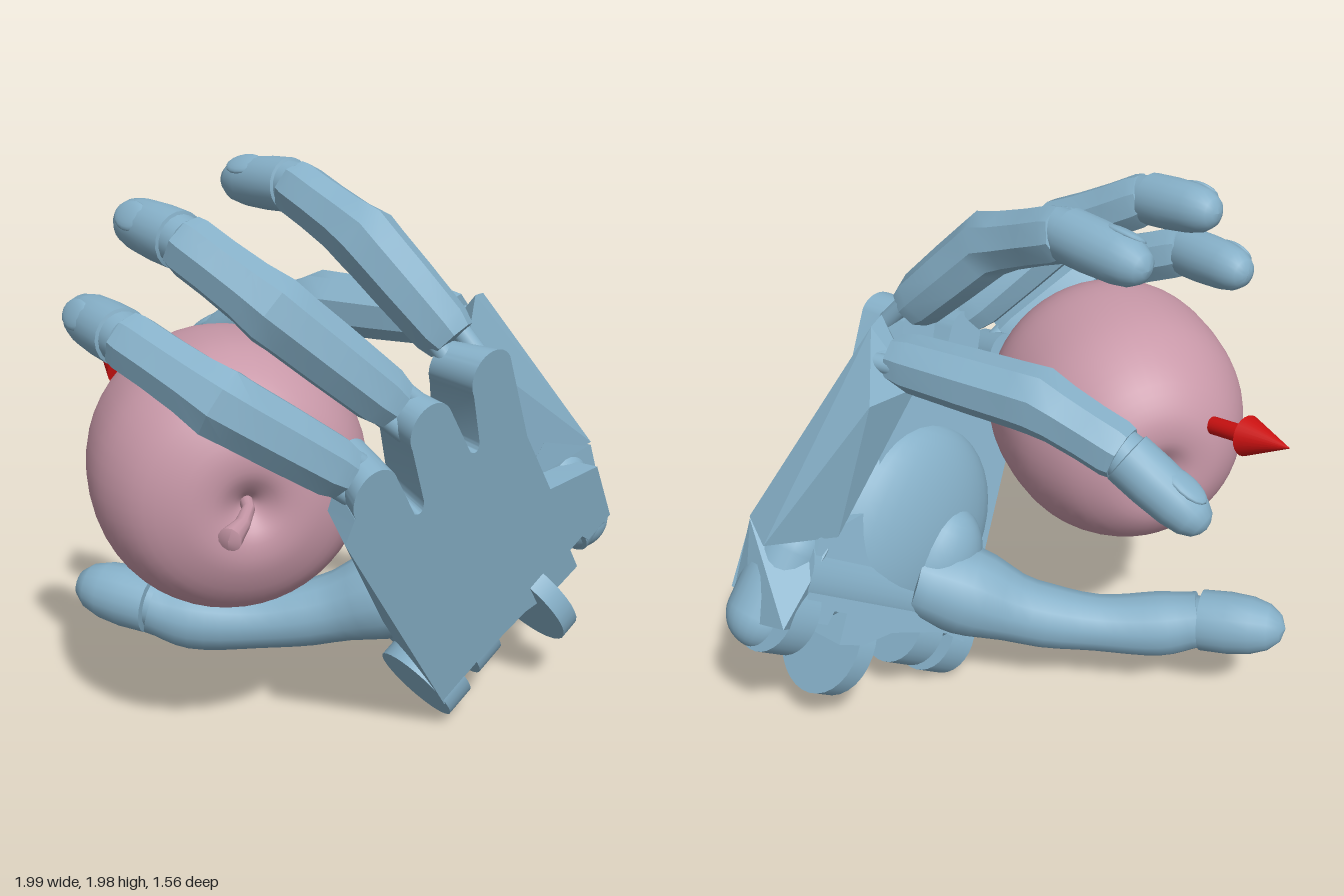
import * as THREE from 'three';
import { toCreasedNormals } from 'three/addons/utils/BufferGeometryUtils.js';
import { ConvexGeometry } from 'three/addons/geometries/ConvexGeometry.js';

const V = (x, y, z) => new THREE.Vector3(x, y, z);
const steel = new THREE.MeshStandardMaterial({ color: 0x86b0c8 });
const skin = new THREE.MeshStandardMaterial({ color: 0xc898a8 });
const red = new THREE.MeshStandardMaterial({ color: 0xcc1111 });

function part(parent, name, geometry, material = steel) {
  const mesh = new THREE.Mesh(geometry, material);
  mesh.name = name;
  parent.add(mesh);
  return mesh;
}

// Skin over rings: stations are [point, radius], ref is the dorsal direction
function loft(stations, sides, ref, crease = 0.5) {
  const pos = [], index = [], n = stations.length;
  stations.forEach(([p, r], i) => {
    const d = stations[Math.min(i + 1, n - 1)][0].clone().sub(stations[Math.max(i - 1, 0)][0]).normalize();
    const s = ref.clone().addScaledVector(d, -ref.dot(d)).normalize();
    const t = d.clone().cross(s);
    for (let j = 0; j < sides; j++) {
      const a = ((j + 0.5) / sides) * Math.PI * 2;
      const q = p.clone().addScaledVector(s, r * Math.cos(a)).addScaledVector(t, r * Math.sin(a));
      pos.push(q.x, q.y, q.z);
      if (i < n - 1) {
        const k = (j + 1) % sides, A = i * sides + j, B = i * sides + k;
        index.push(A, B, B + sides, A, B + sides, A + sides);
      }
    }
  });
  const g = new THREE.BufferGeometry();
  g.setAttribute('position', new THREE.Float32BufferAttribute(pos, 3));
  g.setIndex(index);
  return toCreasedNormals(g, crease);
}

// Cylinder between two points
function rod(a, b, r0, r1 = r0, sides = 20) {
  const d = b.clone().sub(a);
  const g = new THREE.CylinderGeometry(r1, r0, d.length(), sides);
  g.applyQuaternion(new THREE.Quaternion().setFromUnitVectors(V(0, 1, 0), d.clone().normalize()));
  const m = a.clone().add(b).multiplyScalar(0.5);
  return g.translate(m.x, m.y, m.z);
}

// Finger: hinge pin, knuckle, joint and tip end
function finger(name, pin, k, p1, p2, end, r) {
  const g = new THREE.Group();
  g.name = name;
  const ref = p1.clone().multiplyScalar(2).sub(k).sub(end).normalize();
  const at = (a, b, t) => a.clone().lerp(b, t);
  // Fork prongs and pin at the hinge
  const side = ref.clone().cross(p1.clone().sub(k)).setLength(r * 0.5);
  for (const s of [-1, 1]) {
    part(g, 'hingeProng', rod(pin.clone().addScaledVector(side, s), at(k, p1, 0.15).addScaledVector(side, s), r * 0.33));
  }
  part(g, 'hingePin', rod(pin.clone().sub(side), pin.clone().add(side), r * 0.33));
  part(g, 'fingerBody', loft([
    [at(k, p1, 0.01), 0.0005], [at(k, p1, 0.02), r * 0.85], [at(k, p1, 0.14), r], [at(k, p1, 0.55), r * 1.07],
    [at(k, p1, 0.86), r * 1.1], [p1, r * 1.14], [at(p1, p2, 0.25), r * 1.02],
    [at(p1, p2, 0.6), r * 0.97], [at(p1, p2, 0.9), r * 0.97], [at(p1, p2, 0.99), r * 0.9], [p2, 0.0005],
  ], 8, ref, 0.6));
  const profile = [[-0.14, 0.005], [-0.12, 0.75], [0.04, 0.8], [0.05, 0.9], [0.35, 0.9], [0.65, 0.84], [0.83, 0.72], [0.94, 0.5], [0.985, 0.25], [1, 0.005]];
  part(g, 'fingerTip', loft(profile.map(([t, s]) => [at(p2, end, t), r * s]), 20, ref, 0.7));
  // Nail: a thin oval plate on the back of the tip
  const d = end.clone().sub(p2), len = d.length();
  d.normalize();
  const up = ref.clone().addScaledVector(d, -ref.dot(d)).normalize();
  const nail = part(g, 'nail', new THREE.SphereGeometry(1, 16, 10));
  nail.scale.set(r * 0.5, r * 0.18, len * 0.24);
  nail.quaternion.setFromRotationMatrix(new THREE.Matrix4().makeBasis(up.clone().cross(d), up, d));
  nail.position.copy(at(p2, end, 0.6)).addScaledVector(up, r * 0.72);
  return g;
}

function createPalm() {
  const palm = new THREE.Group();
  palm.name = 'palm';
  // Plate outline with three rounded knuckle lobes
  const s = new THREE.Shape();
  s.moveTo(0, 0.1);
  s.lineTo(0, 1.12);
  s.lineTo(0.07, 1.17);
  s.absarc(0.165, 1.165, 0.093, Math.PI, 0.1, true);
  s.lineTo(0.25, 0.97);
  s.quadraticCurveTo(0.275, 0.93, 0.3, 0.98);
  s.lineTo(0.345, 1.19);
  s.absarc(0.435, 1.19, 0.09, Math.PI, 0, true);
  s.lineTo(0.525, 0.97);
  s.quadraticCurveTo(0.545, 0.93, 0.57, 0.97);
  s.lineTo(0.62, 1.15);
  s.absarc(0.71, 1.15, 0.09, Math.PI, 0, true);
  s.lineTo(0.745, 0.8);
  s.lineTo(0.75, 0.49);
  s.lineTo(0.97, 0.36);
  s.lineTo(0.95, 0.08);
  s.lineTo(0.82, 0.08);
  s.lineTo(0.8, 0.13);
  s.lineTo(0.73, 0.13);
  s.lineTo(0.73, 0.02);
  s.lineTo(0.6, 0.03);
  s.lineTo(0.45, 0.09);
  s.lineTo(0.18, 0.12);
  s.lineTo(0.12, 0.12);
  const g = new THREE.ExtrudeGeometry(s, { depth: 1, bevelEnabled: false, curveSegments: 14 });
  // The plate thins from wrist to knuckles and its back is narrower
  const p = g.attributes.position;
  for (let i = 0; i < p.count; i++) {
    const back = 1 - p.getZ(i);
    p.setZ(i, -back * (0.35 - 0.15 * p.getY(i)));
    p.setX(i, p.getX(i) + back * 0.16 * (0.5 - p.getX(i)));
  }
  part(palm, 'palmPlate', toCreasedNormals(g, 0.5));
  // Wrist lugs: from u, to u, radius, v, depth
  [[0.005, 0.12, 0.16, 0.085, 0.155], [0.19, 0.31, 0.16, 0.1, 0.165], [0.51, 0.585, 0.215, -0.01, 0.12], [0.82, 0.93, 0.165, 0.08, 0.18]]
    .forEach(([a, b, r, v, d]) => part(palm, 'wristLug', rod(V(a, v, -d), V(b, v, -d), r, r, 32)));
  part(palm, 'wristCore', rod(V(0.07, 0.22, -0.18), V(0.9, 0.22, -0.18), 0.15, 0.15, 32));
  // Soft swell on the inner side
  const pad = part(palm, 'palmPad', new THREE.SphereGeometry(1, 32, 20));
  pad.scale.set(0.37, 0.4, 0.16);
  pad.position.set(0.42, 0.46, -0.19);
  // Tilted frame: across, along and out of the plate
  const along = V(-0.456, 0.816, 0.36).normalize(), out = V(0.442, -0.142, 0.885).normalize();
  palm.quaternion.setFromRotationMatrix(new THREE.Matrix4().makeBasis(along.clone().cross(out).normalize(), along, out));
  palm.position.set(0.25, 0.03, 0.32);
  return palm;
}

export function createModel() {
  const model = new THREE.Group();
  model.name = 'handHoldingFruit';
  const hand = new THREE.Group();
  hand.name = 'hand';
  model.add(hand);
  hand.add(createPalm());

  // Three long fingers and the long side finger
  hand.add(finger('lowerFinger', V(-0.16, 1.08, 0.62), V(-0.23, 1.14, 0.64), V(-0.61, 1.4, 0.64), V(-0.84, 1.54, 0.38), V(-0.95, 1.555, 0.09), 0.1));
  hand.add(finger('middleFinger', V(0.02, 1.25, 0.56), V(-0.05, 1.31, 0.56), V(-0.42, 1.63, 0.52), V(-0.64, 1.8, 0.29), V(-0.78, 1.83, 0.02), 0.1));
  hand.add(finger('upperFinger', V(0.23, 1.38, 0.44), V(0.19, 1.45, 0.4), V(-0.04, 1.75, 0.19), V(-0.2, 1.88, -0.1), V(-0.36, 1.86, -0.4), 0.1));
  hand.add(finger('sideFinger', V(0.355, 1.43, 0.1), V(0.33, 1.43, 0.08), V(-0.05, 1.42, -0.32), V(-0.25, 1.32, -0.54), V(-0.45, 1.14, -0.76), 0.1));

  // Slab carrying the side finger, and the rounded block at its foot
  part(hand, 'sideFingerSlab', new ConvexGeometry([
    V(0.6, 0.86, 0.16), V(0.86, 0.92, 0.05), V(0.84, 0.9, -0.11), V(0.58, 0.85, -0.06),
    V(0.28, 1.39, 0.28), V(0.34, 1.54, 0.19), V(0.39, 1.53, 0.13), V(0.45, 1.35, -0.08), V(0.27, 1.34, 0.02),
  ]));
  part(hand, 'slabFoot', new ConvexGeometry([
    V(0.52, 0.84, 0.2), V(0.64, 0.98, 0.14), V(0.86, 0.91, 0.05), V(0.94, 0.66, 0.02), V(0.93, 0.6, -0.1),
    V(0.82, 0.67, -0.28), V(0.62, 0.82, -0.08), V(0.72, 0.54, -0.12), V(0.55, 0.6, 0.12),
  ]));
  const knob = part(hand, 'slabKnob', new THREE.CapsuleGeometry(0.125, 0.26, 10, 24));
  knob.quaternion.setFromUnitVectors(V(0, 1, 0), V(-0.52, 0.8, 0.28).normalize());
  knob.position.set(0.795, 0.69, -0.02);

  // Thumb with a broad root merging into the palm
  const thumb = new THREE.Group();
  thumb.name = 'thumb';
  hand.add(thumb);
  const up = V(0, 1, 0.3).normalize();
  const path = new THREE.CatmullRomCurve3([V(0.28, 0.5, 0.12), V(0.1, 0.43, 0.06), V(-0.12, 0.345, -0.03),
    V(-0.36, 0.3, -0.11), V(-0.58, 0.305, -0.19), V(-0.72, 0.34, -0.25)]);
  const radii = [0.15, 0.17, 0.125, 0.108, 0.122, 0.105];
  const body = [];
  for (let i = 0; i <= 20; i++) {
    const t = i / 4, k = Math.min(Math.floor(t), 4);
    body.push([path.getPoint(i / 20), THREE.MathUtils.lerp(radii[k], radii[k + 1], THREE.MathUtils.smoothstep(t - k, 0, 1))]);
  }
  body.unshift([V(0.29, 0.5, 0.12), 0.0005]);
  body.push([V(-0.725, 0.342, -0.252), 0.0005]);
  part(thumb, 'thumbBody', loft(body, 14, up, 0.7));
  const a = V(-0.69, 0.34, -0.24), b = V(-0.97, 0.38, -0.44);
  part(thumb, 'thumbTip', loft([[-0.01, 0.0005], [0, 0.085], [0.1, 0.09], [0.11, 0.113], [0.4, 0.115], [0.65, 0.106], [0.83, 0.085], [0.95, 0.05], [1, 0.0005]]
    .map(([t, r]) => [a.clone().lerp(b, t), r]), 20, up, 0.7));
  const mound = part(thumb, 'thumbMound', new THREE.SphereGeometry(1, 28, 18));
  mound.scale.set(0.19, 0.27, 0.17);
  mound.rotation.z = 0.5;
  mound.position.set(0.22, 0.5, 0.16);

  // Fruit with dents at both ends, axis front to back
  const fruit = new THREE.Group();
  fruit.name = 'fruit';
  fruit.position.set(-0.515, 1.04, 0.17);
  model.add(fruit);
  const profile = new THREE.SplineCurve([[0, -0.38], [0.05, -0.42], [0.12, -0.448], [0.22, -0.43], [0.33, -0.34], [0.42, -0.17],
    [0.447, 0.03], [0.43, 0.2], [0.35, 0.34], [0.22, 0.415], [0.12, 0.425], [0.05, 0.39], [0, 0.34]]
    .map(([x, y]) => new THREE.Vector2(x, y))).getPoints(48);
  profile.forEach((q) => { q.x = Math.max(q.x, 0); });
  part(fruit, 'fruitBody', new THREE.LatheGeometry(profile, 48).rotateX(Math.PI / 2), skin);
  part(fruit, 'fruitStalk', loft([[V(0, 0, 0.32), 0.022], [V(-0.01, 0, 0.42), 0.02], [V(-0.05, -0.01, 0.51), 0.025],
    [V(-0.1, -0.02, 0.58), 0.038], [V(-0.107, -0.021, 0.59), 0.0005]], 12, V(0, 1, 0), 0.8), skin);
  part(fruit, 'fruitBase', new THREE.SphereGeometry(0.02, 12, 8).translate(0, 0, -0.39), skin);

  // Arrow leaving the back of the fruit
  const arrow = new THREE.Group();
  arrow.name = 'arrow';
  model.add(arrow);
  const neck = V(-0.755, 1.21, -0.39);
  part(arrow, 'arrowShaft', rod(V(-0.53, 1.1, 0.15), neck, 0.031), red);
  part(arrow, 'arrowHead', rod(neck, V(-0.825, 1.245, -0.555), 0.07, 0, 24), red);
  return model;
}
